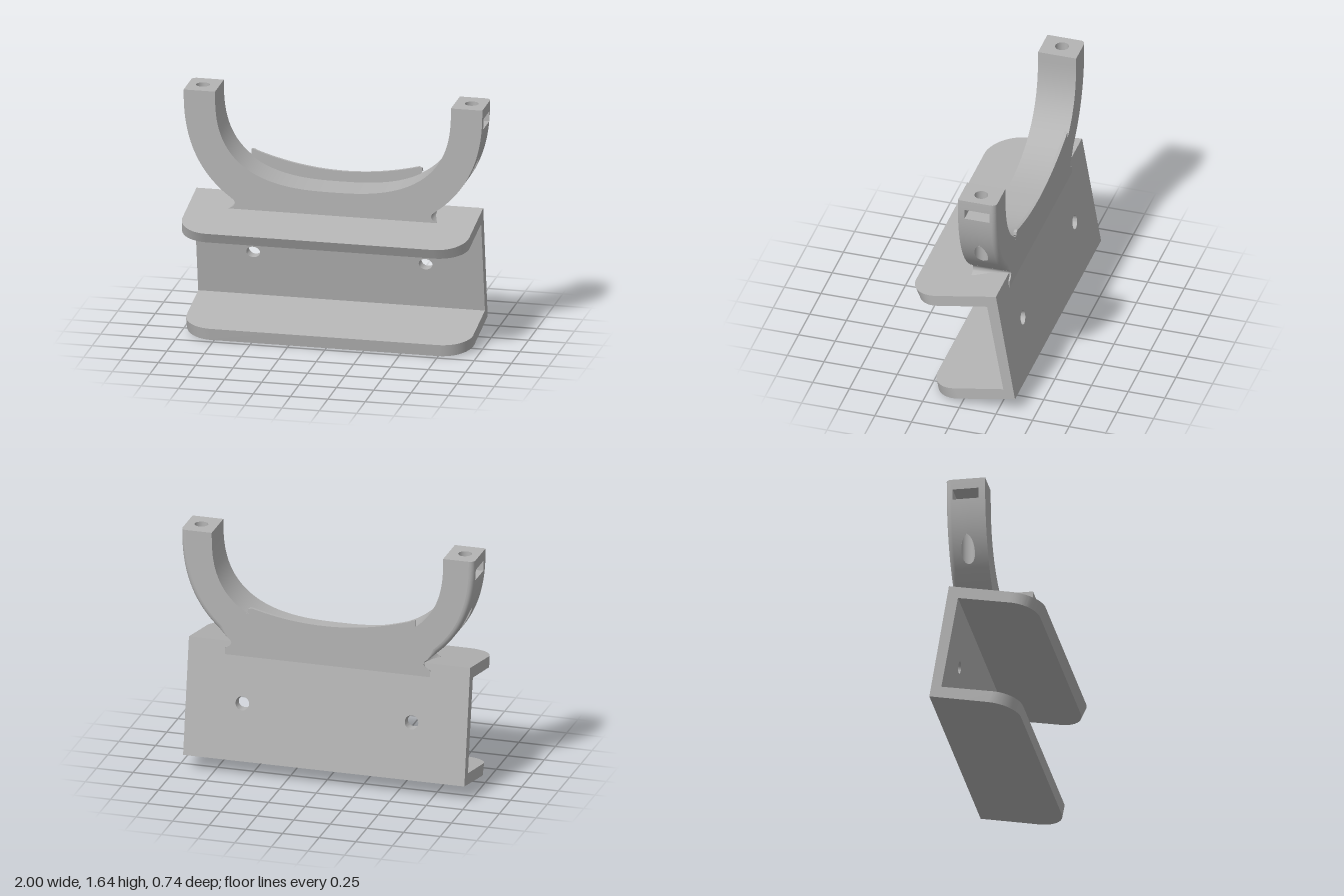
import * as THREE from 'three';
import { toCreasedNormals } from 'three/addons/utils/BufferGeometryUtils.js';

const TOP = 1.64, ZF = 0.01, ZB = -0.25, ZC = -0.12;   // cradle top, front, back, hole line
const HX = 0.9, HR = 0.045;                            // vertical bolt hole
const SLOT_TOP = 1.57, SLOT_LOW = 1.5, SLOT_HALF = 0.085;
const NECK = 0.92, N = 2.4, DROP = 0.89;               // outer curve of the arms

const outerX = (y) => Math.pow(Math.max(0, 1 - Math.pow((TOP - y) / DROP, N)), 1 / N);
const outerY = (x) => TOP - DROP * Math.pow(Math.max(0, 1 - Math.pow(x, N)), 1 / N);
const fillet = (y) => 0.035 * Math.min(1, (y - NECK) / 0.05);

// point on the outer curve, moved inwards
function outerPoint(y, inset = 0) {
  const slope = (outerX(Math.min(y + 0.001, TOP)) - outerX(y - 0.001)) / 0.002;
  const l = Math.hypot(1, slope);
  return [outerX(y) - inset / l, y + inset * slope / l];
}

// smooth surface through rows of points
function grid(rows) {
  const w = rows[0].length, index = [];
  for (let i = 0; i < rows.length - 1; i++) {
    for (let j = 0; j < w - 1; j++) {
      const a = i * w + j, b = a + w;
      index.push(a, a + 1, b, b, a + 1, b + 1);
    }
  }
  const g = new THREE.BufferGeometry();
  g.setAttribute('position', new THREE.Float32BufferAttribute(rows.flat(2), 3));
  g.setIndex(index);
  g.computeVertexNormals();
  return g;
}

function mirrored(geo) {
  const g = geo.clone().scale(-1, 1, 1);
  g.setIndex(Array.from(g.index.array).reverse());
  return g;
}

// slab over an (x, s) shape, fitted between two lines in the z-y plane
function slab(shape, outer, inner) {
  const g = new THREE.ExtrudeGeometry(shape, { depth: 1, bevelEnabled: false, curveSegments: 16 });
  const p = g.attributes.position;
  for (let i = 0; i < p.count; i++) {
    const s = p.getY(i), t = p.getZ(i);
    const at = (k) => THREE.MathUtils.lerp(
      THREE.MathUtils.lerp(outer[0][k], outer[1][k], s),
      THREE.MathUtils.lerp(inner[0][k], inner[1][k], s), t);
    p.setXYZ(i, p.getX(i), at(1), at(0));
  }
  return toCreasedNormals(g, 0.6);
}

export function createModel() {
  const model = new THREE.Group();
  const grey = new THREE.MeshStandardMaterial({ color: 0xb4b4b4, side: THREE.DoubleSide });
  grey.name = 'grey plastic';
  const add = (name, geo, parent = model) => {
    const m = new THREE.Mesh(geo, grey);
    m.name = name;
    parent.add(m);
  };
  const group = (name) => {
    const g = new THREE.Group();
    g.name = name;
    model.add(g);
    return g;
  };

  // channel bracket: two flanges and a back plate, mitred at the corners
  const bracket = group('channelBracket');
  const L = -0.97, R = 0.95;
  const flange = new THREE.Shape();
  flange.moveTo(L, 0).lineTo(R, 0).lineTo(R, 0.67);
  flange.absellipse(R - 0.2, 0.67, 0.2, 0.33, 0, Math.PI / 2);
  flange.absellipse(L + 0.2, 0.67, 0.2, 0.33, Math.PI / 2, Math.PI);
  const back = new THREE.Shape();
  back.moveTo(L, 0).lineTo(R, 0).lineTo(R, 1).lineTo(L, 1);
  for (const x of [-0.59, 0.565]) {
    const hole = new THREE.Path();
    hole.absellipse(x, 0.512, 0.046, 0.06, 0, Math.PI * 2);
    back.holes.push(hole);
  }
  const upOut = [-0.235, 0.89], upIn = [-0.175, 0.8];
  const lowOut = [-0.365, 0.107], lowIn = [-0.285, 0.17];
  add('topFlange', slab(flange, [upOut, [0.37, 0.78]], [upIn, [0.335, 0.71]]), bracket);
  add('bottomFlange', slab(flange, [lowOut, [0.208, 0]], [lowIn, [0.222, 0.08]]), bracket);
  add('backPlate', slab(back, [upOut, lowOut], [upIn, lowIn]), bracket);

  // cradle contours
  const cradle = group('cradle');
  const notch = [[0.682, NECK], [0.664, 0.905], [0.656, 0.885], [0.665, 0.865], [0.69, 0.85],
    [0.7, 0.845], [0.7, 0.8]];
  const ys = Array.from({ length: 73 }, (_, i) => +(TOP - i * 0.01).toFixed(3));
  const inner = Array.from({ length: 65 }, (_, i) => {
    const a = Math.PI * i / 64, c = Math.cos(a), e = 2 / 2.7;
    return [-Math.sign(c) * 0.79 * Math.pow(Math.abs(c), e), TOP - 0.635 * Math.pow(Math.abs(Math.sin(a)), e)];
  });
  const face = (rounded, z) => {
    const right = ys.map((y) => outerPoint(y, rounded ? fillet(y) : 0)).concat(notch.slice(1));
    const left = right.map(([x, y]) => [-x, y]).reverse();
    const pts = [...right, ...left, ...inner].map(([x, y]) => new THREE.Vector2(x, y));
    return new THREE.ShapeGeometry(new THREE.Shape(pts)).translate(0, 0, z);
  };
  add('cradleFront', face(false, ZF), cradle);
  add('cradleBack', face(true, ZB), cradle);
  add('cradleSeat', grid(inner.map(([x, y]) => [[x, y, ZF], [x, y, ZB]])), cradle);

  // outer skin of an arm, leaving a gap around the hole line, rounded at the rear edge
  const skin = (from, to, gap) => {
    const rows = ys.filter((y) => y <= from && y >= to);
    const front = rows.map((y) => {
      const [x] = outerPoint(y);
      return [[x, y, ZF], [x, y, ZC + gap(x)]];
    });
    const rear = rows.map((y) => {
      const [x] = outerPoint(y), r = fillet(y), row = [[x, y, ZC - gap(x)]];
      for (let k = 0; k <= 5; k++) {
        const a = k / 5 * Math.PI / 2;
        row.push([...outerPoint(y, r * (1 - Math.cos(a))), ZB + r - r * Math.sin(a)]);
      }
      return row;
    });
    return [grid(front), grid(rear)];
  };
  const holeGap = (x) => Math.sqrt(Math.max(0, HR * HR - (x - HX) ** 2));
  const parts = [
    ...skin(TOP, SLOT_TOP, () => 0),
    ...skin(SLOT_TOP, SLOT_LOW, () => SLOT_HALF),
    ...skin(SLOT_LOW, NECK, holeGap),
    grid(notch.map(([x, y]) => [[x, y, ZF], [x, y, ZB]])),
  ].map((geo) => ['armOuterSkin', geo]);

  // arm end with the bolt hole
  const end = new THREE.Shape();
  end.moveTo(0.79, ZF).lineTo(0.79, ZB).lineTo(0.965, ZB);
  end.absarc(0.965, ZB + 0.035, 0.035, -Math.PI / 2, 0);
  end.lineTo(1, ZF);
  const bore = new THREE.Path();
  bore.absarc(HX, ZC, HR, 0, Math.PI * 2);
  end.holes.push(bore);
  parts.push(['armEnd', new THREE.ShapeGeometry(end, 16).rotateX(Math.PI / 2).translate(0, TOP, 0)]);

  // bolt hole walls, above the nut slot and down to the curved skin
  for (const [top, low] of [[TOP, () => SLOT_TOP], [SLOT_LOW, outerY]]) {
    const wall = new THREE.CylinderGeometry(HR, HR, 1, 32, 1, true).translate(HX, 0, ZC);
    const p = wall.attributes.position;
    for (let i = 0; i < p.count; i++) p.setY(i, p.getY(i) > 0 ? top : low(p.getX(i)));
    parts.push(['boltHole', wall]);
  }

  // nut slot, open on the outer side
  const slot = new THREE.BoxGeometry(0.168, SLOT_TOP - SLOT_LOW, SLOT_HALF * 2)
    .translate(0.914, (SLOT_TOP + SLOT_LOW) / 2, ZC);
  slot.setIndex(Array.from(slot.index.array).slice(6));
  slot.clearGroups();
  parts.push(['nutSlot', slot]);

  const leftArm = group('leftArm'), rightArm = group('rightArm');
  for (const [name, geo] of parts) {
    add(name, geo, leftArm);
    add(name, mirrored(geo), rightArm);
  }

  // thin lip along the rear of the seat
  const lip = new THREE.Shape();
  lip.moveTo(-0.6, 1.08).lineTo(-0.6, 1.185).lineTo(-0.58, 1.183);
  for (let i = 0; i <= 24; i++) {
    const x = -0.56 + i / 24 * 1.08;
    lip.lineTo(x, 1.075 + 0.28 * (x - 0.03) ** 2);
  }
  lip.lineTo(0.54, 1.135).lineTo(0.545, 1.115).lineTo(0.535, 1.1).lineTo(0.57, 1.1).lineTo(0.57, 1.06);
  lip.lineTo(0.4, 1.0).lineTo(0, 0.97).lineTo(-0.4, 1.0);
  add('rearLip', toCreasedNormals(
    new THREE.ExtrudeGeometry(lip, { depth: 0.02, bevelEnabled: false }).translate(0, 0, ZB - 0.0005), 0.5), cradle);

  return model;
}
